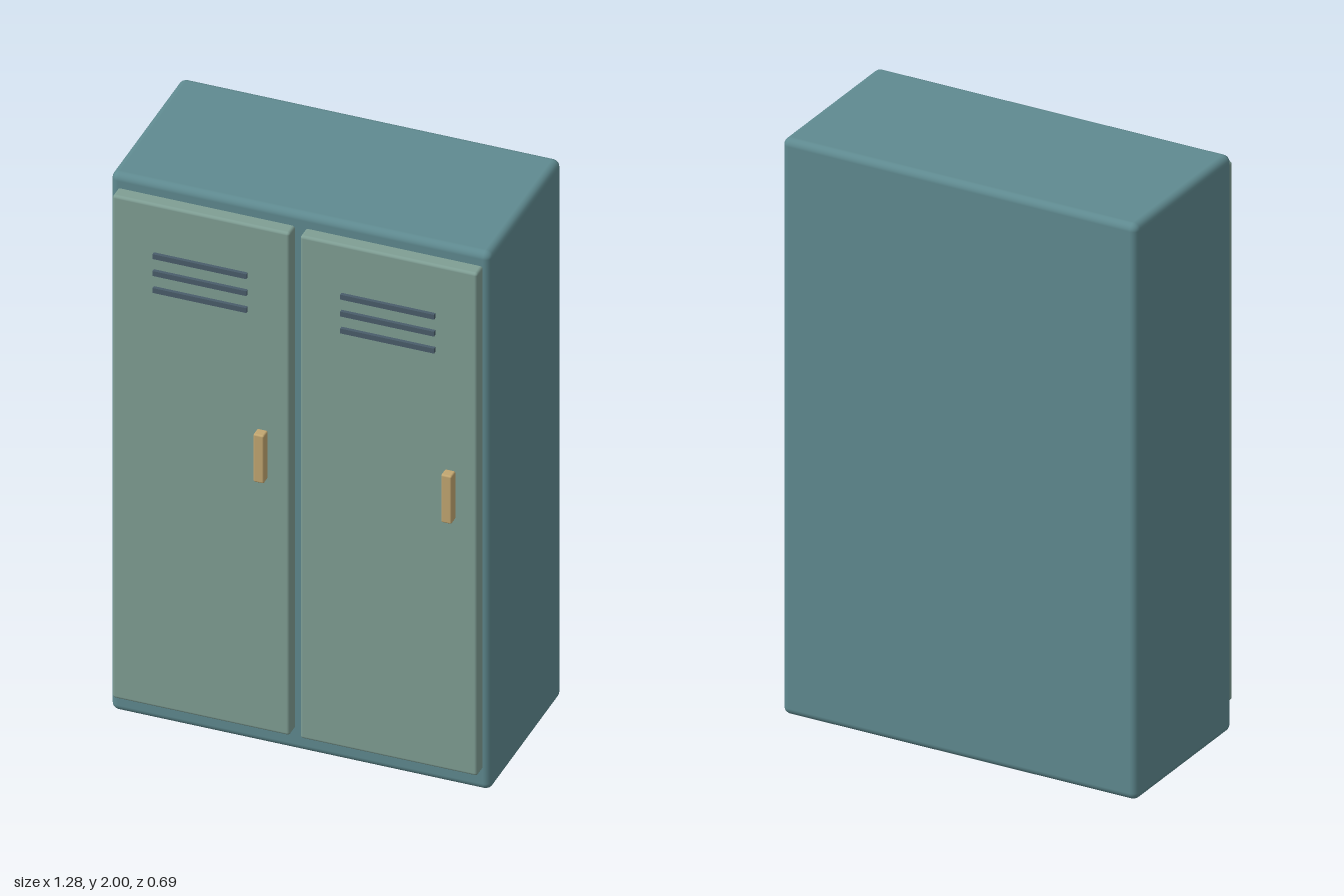
import * as THREE from 'three';
import { RoundedBoxGeometry } from 'three/addons/geometries/RoundedBoxGeometry.js';

function material(name, color) {
  const m = new THREE.MeshStandardMaterial({ color });
  m.name = name;
  return m;
}

// Rounded box placed by its centre
function roundedBox(name, mat, [w, h, d], radius, [x, y, z]) {
  const mesh = new THREE.Mesh(new RoundedBoxGeometry(w, h, d, 3, radius), mat);
  mesh.name = name;
  mesh.position.set(x, y, z);
  return mesh;
}

export function createModel() {
  const teal = material('teal cabinet paint', 0x5f8a90);
  const sage = material('sage door paint', 0x7f9e94);
  const slate = material('dark slate vent', 0x4a5d6b);
  const brass = material('brass handle', 0xc2a670);

  const locker = new THREE.Group();
  locker.name = 'locker';

  // Cabinet body
  locker.add(roundedBox('cabinet', teal, [1.28, 2, 0.604], 0.025, [0, 1, -0.041]));

  // Two identical doors, both with the handle on the same side
  for (const side of [-1, 1]) {
    const door = new THREE.Group();
    door.name = side < 0 ? 'rightDoor' : 'leftDoor';
    door.position.x = side * 0.316;
    door.add(roundedBox('doorPanel', sage, [0.597, 1.87, 0.06], 0.01, [0, 1.015, 0.278]));

    // Vent slats
    for (let i = 0; i < 3; i++) {
      const slat = new THREE.Mesh(new THREE.BoxGeometry(0.316, 0.018, 0.02), slate);
      slat.name = 'ventSlat';
      slat.position.set(0, 1.763 - i * 0.063, 0.31);
      door.add(slat);
    }

    // Handle
    door.add(roundedBox('handle', brass, [0.036, 0.178, 0.038], 0.006, [0.208, 1.111, 0.325]));
    locker.add(door);
  }
  return locker;
}
